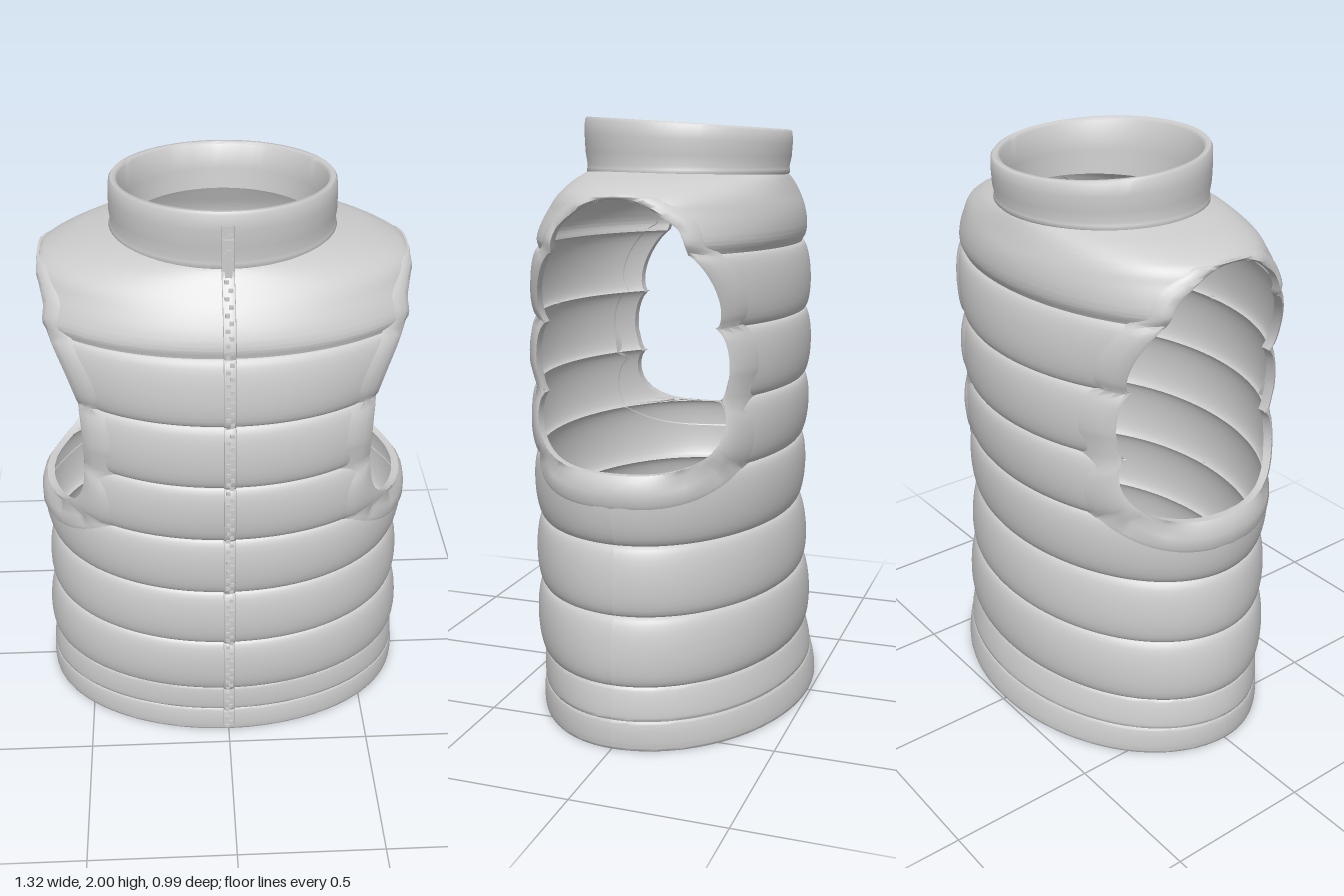
import * as THREE from 'three';
import { toCreasedNormals } from 'three/addons/utils/BufferGeometryUtils.js';

const fabric = new THREE.MeshStandardMaterial({ color: 0xcccccc, side: THREE.DoubleSide });
fabric.name = 'light grey fabric';

// Quilting seams: height, half width, front depth, back depth
const SEAMS = [
  [0, 0.653, 0.435, 0.49], [0.1, 0.652, 0.43, 0.47], [0.21, 0.635, 0.432, 0.442],
  [0.44, 0.618, 0.44, 0.43], [0.67, 0.605, 0.44, 0.41], [0.9, 0.622, 0.445, 0.415],
  [1.12, 0.605, 0.455, 0.425], [1.35, 0.61, 0.45, 0.425], [1.58, 0.655, 0.428, 0.41],
];
// Shoulder yoke, closing in towards the collar
const YOKE = [
  [1.58, 0.655, 0.428, 0.41], [1.61, 0.665, 0.433, 0.424], [1.65, 0.652, 0.421, 0.428],
  [1.7, 0.627, 0.393, 0.421], [1.75, 0.597, 0.357, 0.403], [1.79, 0.505, 0.325, 0.387],
  [1.813, 0.4, 0.303, 0.375], [1.825, 0.34, 0.285, 0.36],
];
const YOKE_Y = 1.58;

function segment(table, y) {
  let i = 0;
  while (i < table.length - 2 && y > table[i + 1][0]) i++;
  const h = table[i + 1][0] - table[i][0];
  return { i, h, t: THREE.MathUtils.clamp((y - table[i][0]) / h, 0, 1) };
}

function linear(table, y) {
  const { i, t } = segment(table, y);
  return [1, 2, 3].map((k) => THREE.MathUtils.lerp(table[i][k], table[i + 1][k], t));
}

// Smooth cubic through the table
function smooth(table, y) {
  const { i, h, t } = segment(table, y);
  const slope = (j, k) => {
    const p = table[Math.max(0, j - 1)], q = table[Math.min(table.length - 1, j + 1)];
    return (q[k] - p[k]) / (q[0] - p[0]);
  };
  const t2 = t * t, t3 = t2 * t;
  return [1, 2, 3].map((k) => (2 * t3 - 3 * t2 + 1) * table[i][k] + (3 * t2 - 2 * t3) * table[i + 1][k]
    + h * ((t3 - 2 * t2 + t) * slope(i, k) + (t3 - t2) * slope(i + 1, k)));
}

const bulge = (y) => {
  if (y >= YOKE_Y) return Math.max(0, 1 - Math.abs(y - 1.66) / 0.08);
  const { t } = segment(SEAMS, y);
  return 2 * Math.sqrt(Math.max(0, t * (1 - t)));
};

// Half width, front and back depth of the body at a height
function section(y, off = 0) {
  const yoke = y >= YOKE_Y;
  const v = yoke ? smooth(YOKE, y) : linear(SEAMS, y);
  const d = off + (yoke ? 0 : bulge(y) * (y < 0.21 ? 0.007 : 0.028));
  return { a: v[0] + d, f: v[1] + d, b: v[2] + d, clip: y > 0.95 ? 0.588 + off : 9 };
}

function bodyPoint(y, angle, off = 0) {
  const s = section(y, off), sn = Math.sin(angle);
  const x = THREE.MathUtils.clamp(s.a * Math.cos(angle), -s.clip, s.clip);
  return new THREE.Vector3(x, y, sn * (sn > 0 ? s.f : s.b));
}

// Half depth of the armhole at a height
const HOLE = { mid: 1.2, up: 0.545, down: 0.298 };
function holeHalf(y) {
  const t = (y - HOLE.mid) / (y > HOLE.mid ? HOLE.up : HOLE.down);
  if (Math.abs(t) >= 1) return 0;
  const shape = t > 0 ? (1 - t ** 2.3) ** 0.435 : (1 - t ** 4) ** 0.25;
  return (0.286 + 0.038 * bulge(y)) * shape;
}

// Surface through rows of points
function grid(rows, crease = 0.9) {
  const pos = [], idx = [], n = rows[0].length;
  rows.forEach((r) => r.forEach((p) => pos.push(p.x, p.y, p.z)));
  for (let j = 0; j < rows.length - 1; j++) {
    for (let i = 0; i < n - 1; i++) {
      const a = j * n + i, c = a + n;
      idx.push(a, c, a + 1, a + 1, c, c + 1);
    }
  }
  const g = new THREE.BufferGeometry();
  g.setAttribute('position', new THREE.Float32BufferAttribute(pos, 3));
  g.setIndex(idx);
  return toCreasedNormals(g, crease);
}

const range = (n, fn) => Array.from({ length: n + 1 }, (_, i) => fn(i / n));

export function createModel() {
  const group = new THREE.Group();
  const add = (name, geometry) => {
    const m = new THREE.Mesh(geometry, fabric);
    m.name = name;
    group.add(m);
    return m;
  };

  // Row heights, dense near each seam
  const heights = [];
  for (let k = 0; k < SEAMS.length - 1; k++) {
    const y0 = SEAMS[k][0], y1 = SEAMS[k + 1][0];
    for (let i = 0; i < 14; i++) heights.push(y0 + (y1 - y0) * (1 - Math.cos(Math.PI * i / 14)) / 2);
  }
  for (let k = 0; k < YOKE.length - 1; k++) {
    for (let i = 0; i < 6; i++) heights.push(YOKE[k][0] + (YOKE[k + 1][0] - YOKE[k][0]) * i / 6);
  }
  heights.push(1.825);

  // Front and back quilted panels, cut away at the armholes
  for (const [name, start, key] of [['frontPanel', 0, 'f'], ['backPanel', Math.PI, 'b']]) {
    add(name, grid(heights.map((y) => {
      const t0 = Math.asin(Math.min(0.95, holeHalf(y) / section(y)[key]));
      return range(56, (u) => bodyPoint(y, start + t0 + (Math.PI - 2 * t0) * u));
    })));
  }

  // Hem turned up on the inside
  const hem = [[0.1, -0.02], [0.02, -0.024], [0.004, -0.018], [0, 0]];
  add('hemLining', grid(hem.map(([y, off]) => range(96, (u) => bodyPoint(y, u * Math.PI * 2, off)))));

  // Armhole binding: [spread from the hole, offset from the body]
  const binding = [[1.2, -0.002], [1.17, 0.006], [1.1, 0.007], [1.03, 0.005], [1, 0], [1, -0.025]];
  const bindingGeometry = grid(binding.map(([k, off]) => range(160, (u) => {
    const ang = u * Math.PI * 2, s = Math.sin(ang);
    const lift = s > 0 ? s * HOLE.up : -Math.sqrt(-s) * HOLE.down;
    const z = Math.sign(Math.cos(ang)) * holeHalf(HOLE.mid + lift) * k;
    // The binding is wider under the arm and tucked in at the shoulder
    const y = Math.min(1.752, HOLE.mid + lift * (s > 0 ? 1 + (k - 1) * 0.3 : 1 + (k - 1) * 1.8));
    const q = section(y, off);
    const depth = z > 0 ? q.f : q.b;
    const x = Math.min(q.clip, q.a * Math.sqrt(Math.max(0, 1 - (z / depth) ** 2)));
    return new THREE.Vector3(x, y, z);
  })));
  add('leftArmholeBinding', bindingGeometry);
  add('rightArmholeBinding', bindingGeometry).scale.x = -1;

  // Stand collar, rim higher at the front: [half width, half depth, height fraction]
  const collar = [[0.33, 0.31, -0.05], [0.36, 0.336, 0], [0.366, 0.342, 0.05], [0.363, 0.341, 0.12],
    [0.36, 0.34, 0.18], [0.364, 0.347, 0.4], [0.364, 0.35, 0.7], [0.36, 0.349, 0.95], [0.354, 0.343, 1],
    [0.34, 0.329, 1], [0.332, 0.32, 0.95], [0.328, 0.31, 0.4], [0.324, 0.3, -0.05]];
  add('collar', grid(collar.map(([rx, rz, v]) => range(72, (u) => {
    const ang = u * Math.PI * 2, z = -0.04 + rz * Math.sin(ang);
    const rim = 1.979 + 0.066 * (z + 0.04);
    return new THREE.Vector3(rx * Math.cos(ang), 1.81 + (rim - 1.81) * v, z);
  }))));

  // Zip running up the front
  const frontZ = (y) => (y < 1.81 ? section(y).f : 0.307);
  const tape = [[0.02, 0.001], [0.018, 0.006], [0.005, 0.009], [-0.005, 0.009], [-0.018, 0.006], [-0.02, 0.001]];
  const tapeHeights = heights.filter((y) => y >= 0.02 && y < 1.81).concat([1.815, 1.88, 1.96]);
  add('zipTape', grid(tapeHeights.map((y) => tape.map(([x, d]) => new THREE.Vector3(x, y, frontZ(y) + d)))));
  const tooth = new THREE.BoxGeometry(0.014, 0.012, 0.008);
  const teeth = new THREE.Group();
  teeth.name = 'zipTeeth';
  for (let i = 0; i < 96; i++) {
    const m = new THREE.Mesh(tooth, fabric), y = 0.03 + i * 0.02;
    m.name = 'zipTooth';
    m.position.set(i % 2 ? 0.006 : -0.006, y, frontZ(y) + 0.01);
    teeth.add(m);
  }
  group.add(teeth);
  add('zipSlider', new THREE.BoxGeometry(0.034, 0.04, 0.014)).position.set(0, 1.9, 0.316);
  add('zipPull', new THREE.BoxGeometry(0.02, 0.1, 0.008)).position.set(0, 1.84, 0.322);

  return group;
}
